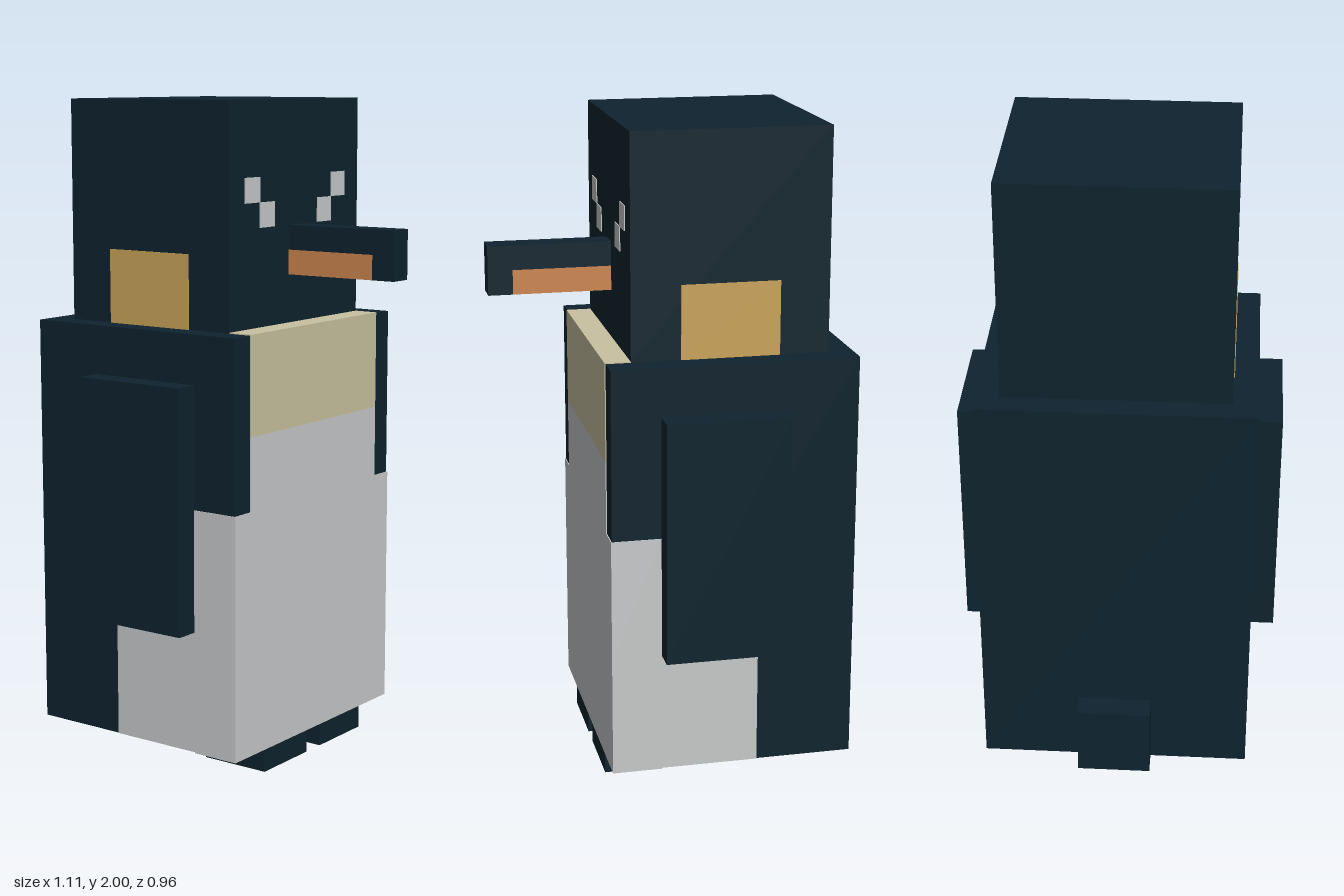
import * as THREE from 'three';

const U = 2 / 27; // one block unit
const E = 0.04;   // how far painted patches stand proud, in units

const mat = (name, color) => {
  const m = new THREE.MeshStandardMaterial({ color });
  m.name = name;
  return m;
};

export function createModel() {
  const dark = mat('dark navy', 0x0e232e);
  const white = mat('belly white', 0xc7c9ca);
  const cream = mat('chest cream', 0xc9c1a0);
  const gold = mat('cheek gold', 0xc9a35a);
  const orange = mat('beak orange', 0xcc854f);

  const model = new THREE.Group();
  model.name = 'penguin';

  // Box given by its bounds in block units
  const block = (name, material, [x0, x1], [y0, y1], [z0, z1]) => {
    const geo = new THREE.BoxGeometry((x1 - x0) * U, (y1 - y0) * U, (z1 - z0) * U);
    geo.translate((x0 + x1) / 2 * U, (y0 + y1) / 2 * U, (z0 + z1) / 2 * U);
    const mesh = new THREE.Mesh(geo, material);
    mesh.name = name;
    model.add(mesh);
  };
  // The same block on both sides of the body
  const pair = (name, material, x, y, [z0, z1]) => {
    block(name + 'Left', material, x, y, [-z1, -z0]);
    block(name + 'Right', material, x, y, [z0, z1]);
  };

  // Main masses, facing +x
  block('body', dark, [-6.5, 3.5], [1, 18], [-5.5, 5.5]);
  block('head', dark, [-5.5, 2.5], [18, 27], [-4.5, 4.5]);
  block('tail', dark, [-7.5, -6.5], [1, 4], [-1.5, 1.5]);
  pair('wing', dark, [-3.5, 1.5], [6, 16], [5.5, 6.5]);
  pair('foot', dark, [0.5, 3.5], [0, 1], [0.5, 3.5]);

  // Belly patches: side panels, front sheet, underside strip
  pair('bellySideLow', white, [-2.5, 3.5 + E], [1, 6], [5.5, 5.5 + E]);
  pair('bellySideHigh', white, [1.5, 3.5 + E], [6, 11], [5.5, 5.5 + E]);
  block('bellyFrontLow', white, [3.5, 3.5 + E], [1, 11], [-5.5, 5.5]);
  block('bellyFrontHigh', white, [3.5, 3.5 + E], [11, 14], [-4.5, 4.5]);
  block('bellyUnderside', white, [1.5, 3.5 + E], [1 - E, 1], [-5.5 - E, 5.5 + E]);

  // Chest patch wrapping over the front edge
  block('chestFront', cream, [3.5, 3.5 + E], [14, 18 + E], [-4.5, 4.5]);
  block('chestTop', cream, [2.5, 3.5], [18, 18 + E], [-4.5, 4.5]);

  // Cheeks and two-pixel slanted eyes
  pair('cheek', gold, [-3.5, 0.5], [18, 21], [4.5, 4.5 + E]);
  pair('eyeOuter', white, [2.5, 2.5 + E], [23, 24], [2.5, 3.5]);
  pair('eyeInner', white, [2.5, 2.5 + E], [22, 23], [1.5, 2.5]);

  // Beak: dark top and tip, orange lower half
  block('beakTop', dark, [2.5, 7.5], [21, 22], [-0.5, 0.5]);
  block('beakTip', dark, [6.5, 7.5], [20, 21], [-0.5, 0.5]);
  block('beakLower', orange, [2.5, 6.5], [20, 21], [-0.5, 0.5]);

  return model;
}
